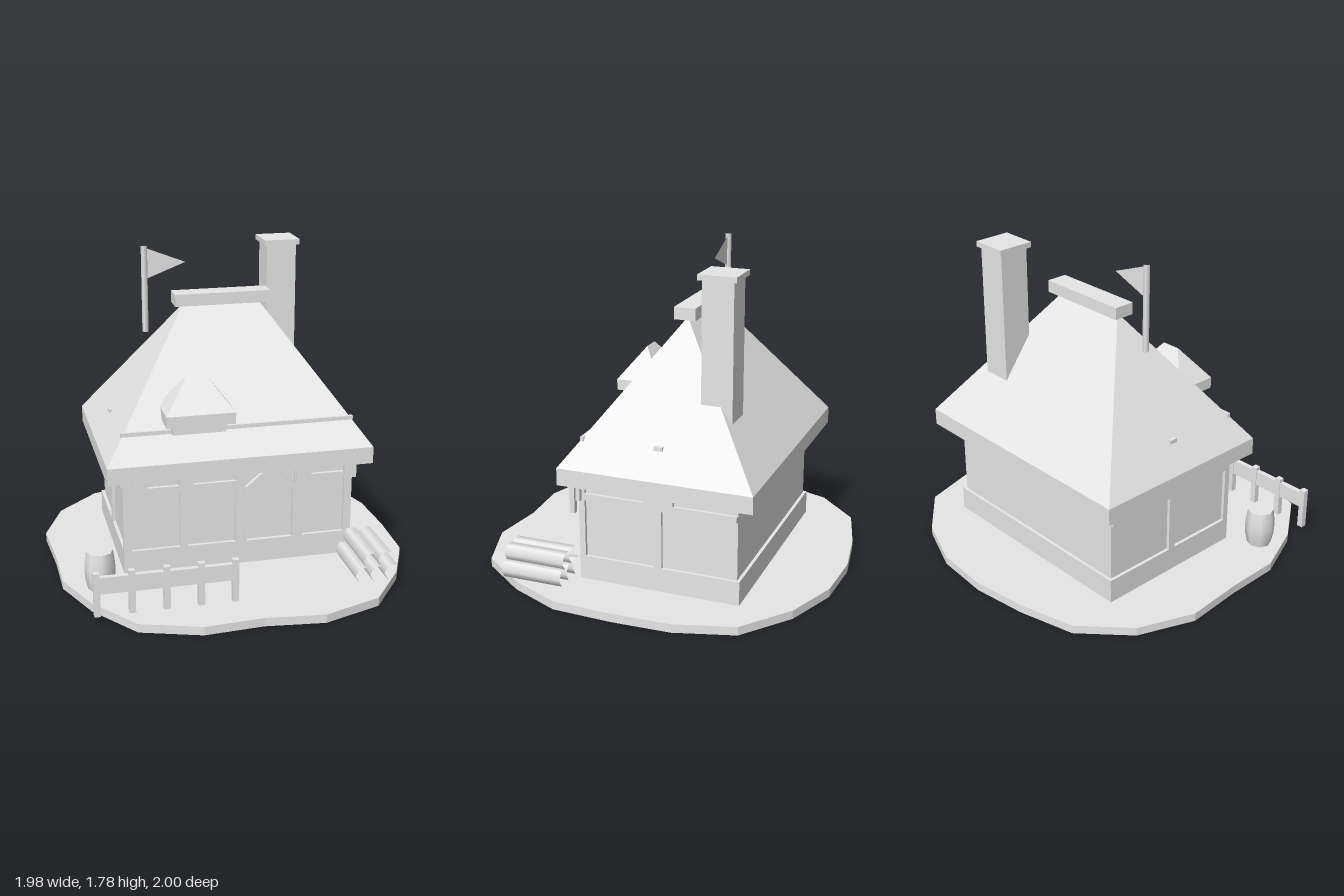
import * as THREE from 'three';

const stone = new THREE.MeshStandardMaterial({ color: 0xe7e7e7, side: THREE.FrontSide });
stone.name = 'pale grey';
const cloth = new THREE.MeshStandardMaterial({ color: 0xe7e7e7, side: THREE.DoubleSide });
cloth.name = 'pale grey cloth';

export function createModel() {
  const model = new THREE.Group();
  model.name = 'cottage';

  function add(name, geometry, material = stone) {
    const mesh = new THREE.Mesh(geometry, material);
    mesh.name = name;
    model.add(mesh);
    return mesh;
  }

  // Box given by its limits on each axis
  function box(name, x0, x1, y0, y1, z0, z1) {
    const mesh = add(name, new THREE.BoxGeometry(x1 - x0, y1 - y0, z1 - z0));
    mesh.position.set((x0 + x1) / 2, (y0 + y1) / 2, (z0 + z1) / 2);
    return mesh;
  }

  // Hipped roof rising from a rectangle to a ridge along x
  function hipRoof(name, x0, x1, z0, z1, y0, r0, r1, rz, y1) {
    const a = [x0, y0, z1], b = [x1, y0, z1], c = [x1, y0, z0], d = [x0, y0, z0];
    const p = [r0, y1, rz], q = [r1, y1, rz];
    const faces = [a, b, q, a, q, p, c, d, p, c, p, q, b, c, q, d, a, p];
    const geo = new THREE.BufferGeometry();
    geo.setAttribute('position', new THREE.Float32BufferAttribute(faces.flat(), 3));
    geo.computeVertexNormals();
    return add(name, geo);
  }

  // Irregular ground slab
  const rim = [
    [0, -1], [0.32, -0.98], [0.62, -0.865], [0.885, -0.655], [0.98, -0.33],
    [0.99, 0], [0.975, 0.335], [0.845, 0.62], [0.645, 0.885], [0.32, 0.998],
    [0, 0.96], [-0.32, 0.98], [-0.64, 0.875], [-0.84, 0.6], [-0.96, 0.31],
    [-0.965, 0], [-0.99, -0.33], [-0.87, -0.64], [-0.63, -0.87], [-0.31, -0.955],
  ];
  const slab = new THREE.Shape(rim.map(([x, z]) => new THREE.Vector2(x, -z)));
  add('ground', new THREE.ExtrudeGeometry(slab, { depth: 0.048, bevelEnabled: false }).rotateX(-Math.PI / 2));

  // Foundation and recessed walls
  const front = 0.314;
  box('foundation', -0.62, 0.675, 0.045, 0.183, -0.59, front);
  box('walls', -0.602, 0.657, 0.183, 0.63, -0.572, 0.294);

  // Front timber frame, flush with the foundation, with brackets under the eaves
  for (const [x0, x1] of [[-0.62, -0.576], [-0.307, -0.263], [0.005, 0.06], [0.343, 0.392], [0.631, 0.675]]) {
    box('frontPost', x0, x1, 0.183, 0.62, 0.28, front);
  }
  box('frontRailLeft', -0.6, 0.01, 0.508, 0.545, 0.28, front);
  box('frontRailRight', 0.385, 0.65, 0.508, 0.545, 0.28, front);
  for (const [x0, x1] of [[-0.572, -0.485], [-0.31, -0.23], [0.352, 0.437], [0.627, 0.698]]) {
    box('frontBracket', x0, x1, 0.508, 0.62, 0.298, 0.321);
  }

  // Side timber frame, also flush with the foundation
  for (const [x0, x1] of [[-0.62, -0.59], [0.645, 0.675]]) {
    box('sidePost', x0, x1, 0.183, 0.52, -0.158, -0.115);
    box('sideRail', x0, x1, 0.508, 0.545, -0.57, 0.298);
    box('sideBracket', x0, x1, 0.545, 0.62, -0.222, -0.057);
  }

  // Pointed door arch and door leaf
  const arch = (Path, x0, x1, base, spring, peak) => {
    const path = new Path();
    path.moveTo(x0, base);
    path.lineTo(x1, base);
    path.lineTo(x1, spring);
    path.lineTo((x0 + x1) / 2, peak);
    path.lineTo(x0, spring);
    path.closePath();
    return path;
  };
  const frame = arch(THREE.Shape, 0.055, 0.345, 0.18, 0.495, 0.617);
  frame.holes.push(arch(THREE.Path, 0.07, 0.33, 0.183, 0.478, 0.592));
  add('doorFrame', new THREE.ExtrudeGeometry(frame, { depth: 0.04, bevelEnabled: false })).position.z = 0.28;
  const leaf = arch(THREE.Shape, 0.065, 0.335, 0.183, 0.485, 0.6);
  add('door', new THREE.ExtrudeGeometry(leaf, { depth: 0.006, bevelEnabled: false })).position.z = 0.291;

  // Main roof, eaves, ridge cap and timbers showing through the slopes
  box('eaves', -0.71, 0.766, 0.612, 0.707, -0.683, 0.395);
  hipRoof('roof', -0.71, 0.766, -0.683, 0.395, 0.707, -0.187, 0.24, -0.14, 1.445);
  box('ridgeCap', -0.242, 0.298, 1.44, 1.507, -0.203, -0.083);
  box('roofBeamFront', -0.62, 0.674, 0.84, 0.864, 0.278, 0.297);
  box('roofBeamCross', -0.62, 0.674, 0.842, 0.864, -0.165, -0.118);

  // Dormer
  box('dormerBody', -0.345, -0.055, 0.845, 0.9, 0.15, 0.335);
  box('dormerSill', -0.27, -0.125, 0.878, 0.902, 0.15, 0.345);
  box('dormerEaves', -0.388, -0.012, 0.904, 0.967, 0.13, 0.388);
  hipRoof('dormerRoof', -0.388, -0.012, 0.13, 0.388, 0.967, -0.255, -0.145, 0.255, 1.142);

  // Chimney
  box('chimney', 0.34, 0.512, 0.9, 1.72, -0.485, -0.315);
  box('chimneyCap', 0.322, 0.528, 1.714, 1.744, -0.503, -0.296);

  // Flag on its open pole
  const pole = add('flagPole', new THREE.CylinderGeometry(0.0175, 0.0175, 0.48, 6, 1, true).rotateY(Math.PI / 6));
  pole.position.set(-0.401, 1.537, -0.14);
  const pennant = new THREE.Shape([
    new THREE.Vector2(-0.388, 1.762), new THREE.Vector2(-0.388, 1.594), new THREE.Vector2(-0.172, 1.677),
  ]);
  add('flag', new THREE.ShapeGeometry(pennant), cloth).position.z = -0.14;

  // Barrel with a bulging side and a flat lid
  const barrel = new THREE.Group();
  barrel.name = 'barrel';
  barrel.position.set(-0.769, 0.048, 0.427);
  model.add(barrel);
  const staves = [[0.068, 0], [0.08, 0.055], [0.084, 0.108], [0.08, 0.16], [0.072, 0.215]];
  barrel.add(add('barrelStaves', new THREE.LatheGeometry(staves.map(([r, y]) => new THREE.Vector2(r, y)), 8)));
  const lid = add('barrelLid', new THREE.CircleGeometry(0.072, 8).rotateX(-Math.PI / 2));
  lid.position.y = 0.215;
  barrel.add(lid);

  // Fence with the rail flush against the post faces
  for (let i = 0; i < 5; i++) {
    const x = -0.828 + i * 0.182;
    box('fencePost', x - 0.017, x + 0.017, 0.045, 0.287, 0.72, 0.753);
  }
  box('fenceRail', -0.828, -0.1, 0.172, 0.264, 0.724, 0.753);

  // Stacked hollow logs: three below, two above
  for (const [x, y] of [[0.625, 0.093], [0.7075, 0.093], [0.79, 0.093], [0.666, 0.173], [0.749, 0.173]]) {
    const bark = new THREE.CylinderGeometry(0.05, 0.05, 0.348, 6, 1, true).rotateY(Math.PI / 6).rotateX(Math.PI / 2);
    add('log', bark).position.set(x, y, 0.535);
  }

  return model;
}
